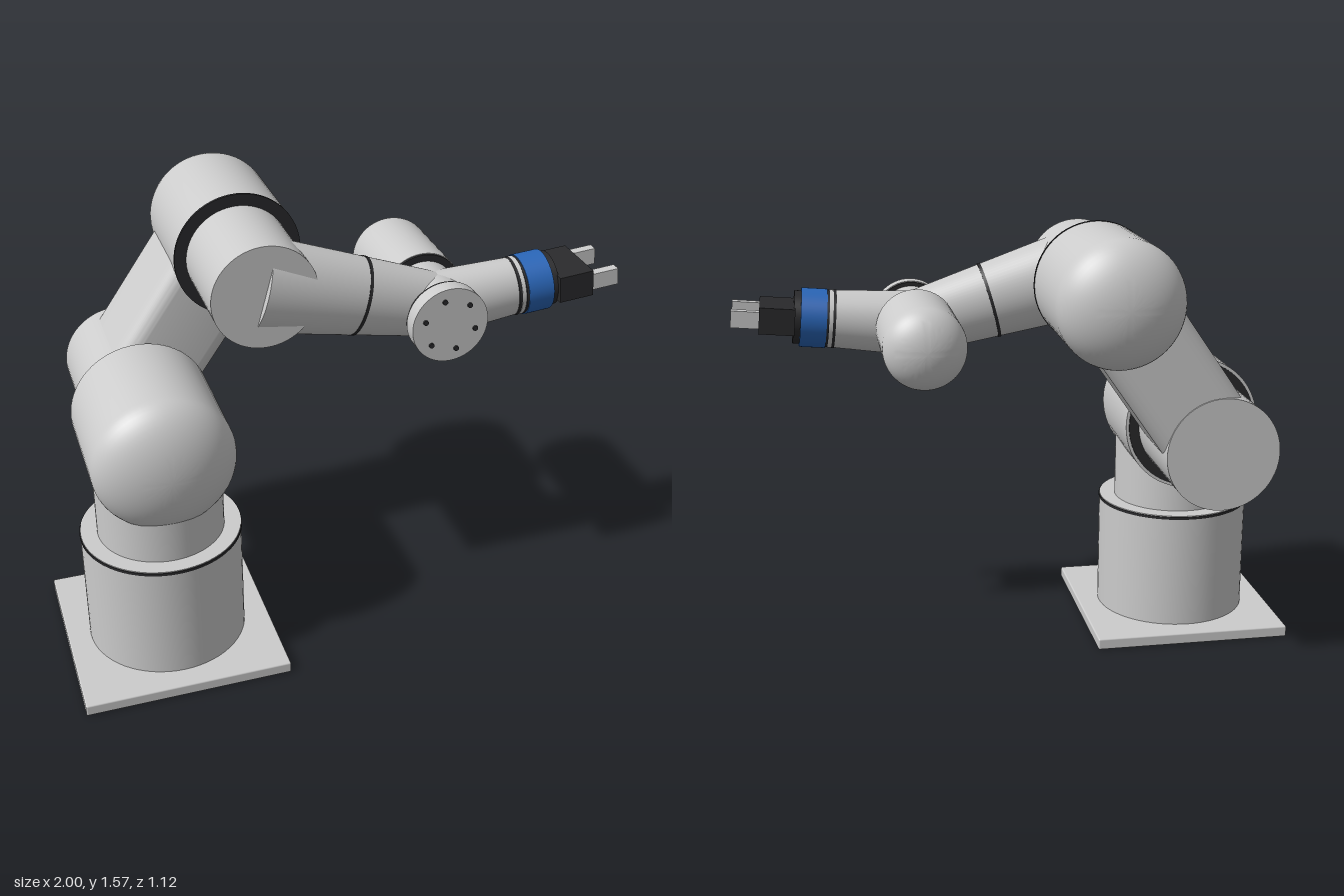
import * as THREE from 'three';
import { toCreasedNormals } from 'three/addons/utils/BufferGeometryUtils.js';
import { RoundedBoxGeometry } from 'three/addons/geometries/RoundedBoxGeometry.js';

const grey = new THREE.MeshStandardMaterial({ color: 0xcccccc });
const dark = new THREE.MeshStandardMaterial({ color: 0x2a2a2c });
const blue = new THREE.MeshStandardMaterial({ color: 0x2a66b8 });

const Z = 0.197; // depth of the base, forearm and tool axes
const SHOULDER = new THREE.Vector2(-0.638, 0.82);
const ELBOW = new THREE.Vector2(-0.27, 1.35);
const WRIST = new THREE.Vector2(0.352, 1.18);

function add(parent, name, geometry, material = grey) {
  const mesh = new THREE.Mesh(geometry, material);
  mesh.name = name;
  parent.add(mesh);
  return mesh;
}

// Upright cylinder between two heights, optionally squashed in depth
function post(parent, name, r0, r1, y0, y1, material, depth = 1) {
  const g = new THREE.CylinderGeometry(r1, r0, y1 - y0, 64);
  g.scale(1, 1, depth);
  g.translate(0, (y0 + y1) / 2, 0);
  return add(parent, name, g, material);
}

// Cylinder lying along z between two depths
function barrel(parent, name, center, r, z0, z1, material) {
  const g = new THREE.CylinderGeometry(r, r, z1 - z0, 64);
  g.rotateX(Math.PI / 2);
  g.translate(center.x, center.y, (z0 + z1) / 2);
  return add(parent, name, g, material);
}

// Motor housing along z: flat at zFlat, domed towards zTip
function housing(parent, name, center, r, zFlat, zTip, dome) {
  const length = Math.abs(zTip - zFlat);
  const profile = [new THREE.Vector2(0, 0), new THREE.Vector2(r, 0)];
  for (let i = 0; i <= 14; i++) {
    const a = (i / 14) * Math.PI / 2;
    profile.push(new THREE.Vector2(i === 14 ? 0 : r * Math.cos(a), length - dome + dome * Math.sin(a)));
  }
  const g = toCreasedNormals(new THREE.LatheGeometry(profile, 64), 0.6);
  g.rotateX(Math.sign(zTip - zFlat) * Math.PI / 2);
  g.translate(center.x, center.y, zFlat);
  return add(parent, name, g);
}

// Group whose local +y runs from one joint in the direction of another point
function limb(parent, name, from, to, z) {
  const group = new THREE.Group();
  group.name = name;
  group.position.set(from.x, from.y, z);
  group.rotation.z = Math.atan2(to.y - from.y, to.x - from.x) - Math.PI / 2;
  parent.add(group);
  return group;
}

export function createModel() {
  const robot = new THREE.Group();
  robot.name = 'robotArm';

  // Base plate, column and turning neck
  const base = new THREE.Group();
  base.name = 'base';
  base.position.set(SHOULDER.x, 0, Z);
  robot.add(base);
  add(base, 'basePlate', new RoundedBoxGeometry(0.725, 0.042, 0.725, 2, 0.006)).position.y = 0.021;
  post(base, 'baseColumn', 0.281, 0.281, 0.04, 0.466);
  post(base, 'baseSeal', 0.283, 0.283, 0.463, 0.473, dark);
  post(base, 'baseCap', 0.28, 0.28, 0.473, 0.476);
  post(base, 'neck', 0.222, 0.222, 0.47, 0.82);

  // Shoulder motor and lower arm joint
  housing(robot, 'shoulderHousing', SHOULDER, 0.246, -0.038, 0.472, 0.14);
  barrel(robot, 'shoulderSeal', SHOULDER, 0.235, -0.043, -0.036, dark);
  barrel(robot, 'lowerArmJoint', SHOULDER, 0.199, -0.43, -0.04);

  // Upper arm: rounded beam between shoulder and elbow
  const arm = limb(robot, 'upperArm', SHOULDER, ELBOW, -0.24);
  const w = 0.165, d = 0.185, r = 0.065;
  const section = new THREE.Shape();
  section.moveTo(w, -d + r);
  [[w, d, 0], [-w, d, 1], [-w, -d, 2], [w, -d, 3]].forEach(([x, y, q]) =>
    section.absarc(x - Math.sign(x) * r, y - Math.sign(y) * r, r, q * Math.PI / 2, (q + 1) * Math.PI / 2));
  const beam = new THREE.ExtrudeGeometry(section, {
    depth: ELBOW.distanceTo(SHOULDER), bevelEnabled: false, curveSegments: 8,
  });
  beam.rotateX(-Math.PI / 2);
  add(arm, 'upperArmBeam', toCreasedNormals(beam, 0.6));

  // Elbow motor and joint
  housing(robot, 'elbowHousing', ELBOW, 0.219, -0.045, -0.56, 0.14);
  barrel(robot, 'elbowSeal', ELBOW, 0.221, -0.046, -0.036, dark);
  barrel(robot, 'elbowJoint', ELBOW, 0.18, -0.04, 0.3);

  // Tapered oval forearm
  const forearm = limb(robot, 'forearm', ELBOW, WRIST, Z);
  post(forearm, 'forearmTube', 0.166, 0.115, 0, 0.64, grey, 0.8);
  post(forearm, 'forearmSeal', 0.1405, 0.1395, 0.353, 0.364, dark, 0.8);

  // Wrist motor, joint and bolted cover
  barrel(robot, 'wristJoint', WRIST, 0.118, 0.09, 0.3);
  housing(robot, 'wristHousing', WRIST, 0.144, 0.092, -0.313, 0.1);
  barrel(robot, 'wristRearSeal', WRIST, 0.142, 0.09, 0.101, dark);
  barrel(robot, 'wristFrontSeal', WRIST, 0.132, 0.294, 0.305, dark);
  barrel(robot, 'wristCover', WRIST, 0.135, 0.303, 0.358);
  for (let i = 0; i < 6; i++) {
    const a = (45 + i * 60) * Math.PI / 180;
    const spot = new THREE.Vector2(Math.cos(a), Math.sin(a)).multiplyScalar(0.093).add(WRIST);
    barrel(robot, 'coverBolt', spot, 0.009, 0.35, 0.364, dark);
  }

  // Hand link and tool flange
  const hand = limb(robot, 'hand', WRIST, new THREE.Vector2(0.99, 1.237), Z);
  post(hand, 'handTube', 0.118, 0.104, 0, 0.285, grey, 0.86);
  post(hand, 'handSeal', 0.105, 0.105, 0.284, 0.294, dark, 0.9);
  post(hand, 'flangeSpacer', 0.104, 0.104, 0.294, 0.308, grey, 0.93);
  post(hand, 'flangeSeal', 0.103, 0.103, 0.308, 0.318, dark);
  post(hand, 'flangeBand', 0.106, 0.106, 0.316, 0.408, blue);
  post(hand, 'toolPlate', 0.095, 0.095, 0.408, 0.432, dark);

  // Gripper body with two fingers
  add(hand, 'gripperBody', new THREE.BoxGeometry(0.094, 0.125, 0.218), dark).position.y = 0.49;
  for (const side of [-1, 1]) {
    add(hand, 'gripperFinger', new THREE.BoxGeometry(0.06, 0.11, 0.034))
      .position.set(0, 0.595, side * 0.086);
  }
  return robot;
}
